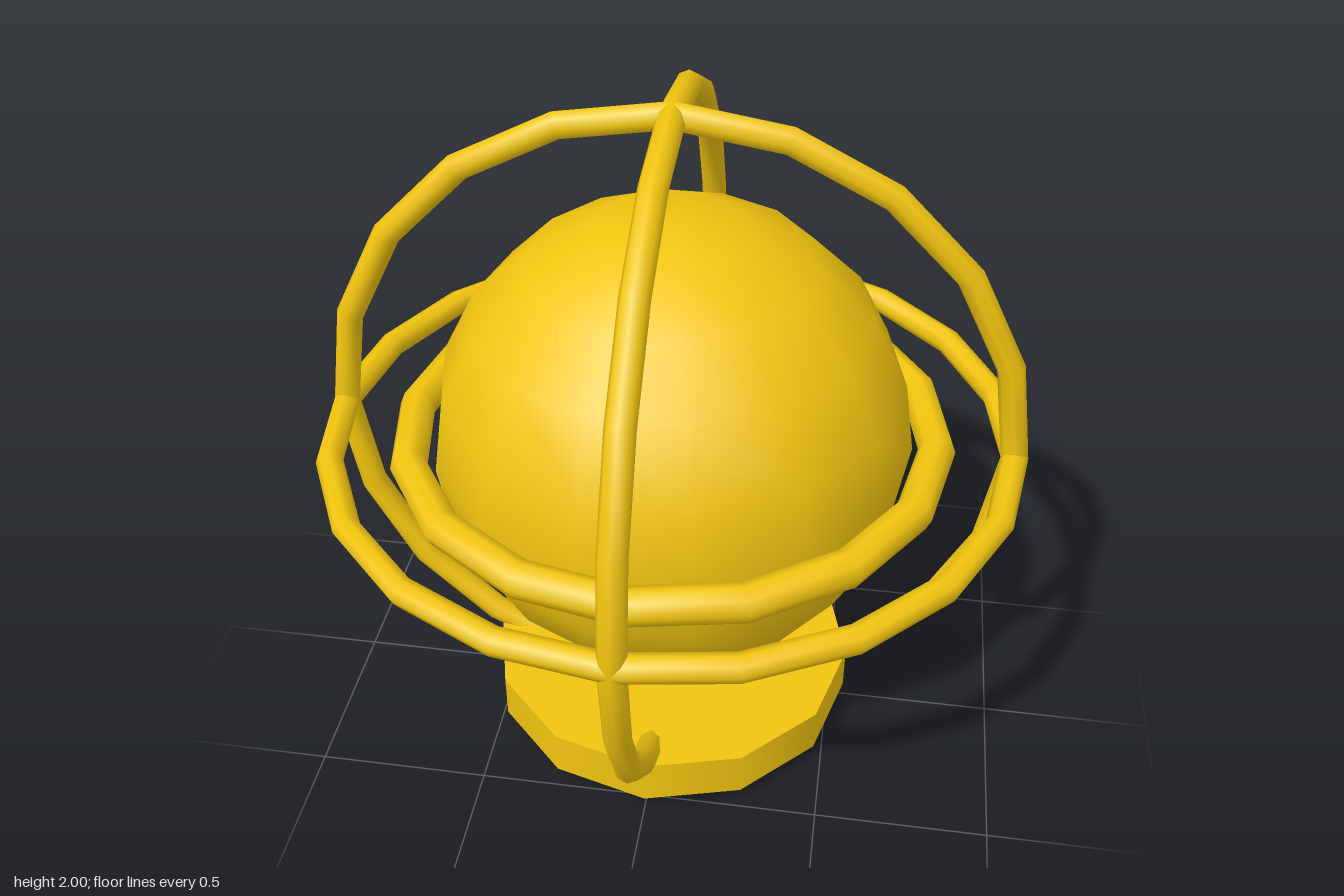
import * as THREE from 'three';

export function createModel() {
  const model = new THREE.Group();
  model.name = 'cagedGlobe';
  const yellow = new THREE.MeshStandardMaterial({ color: 0xf1c40f });

  const add = (name, geometry, y) => {
    const mesh = new THREE.Mesh(geometry, yellow);
    mesh.name = name;
    mesh.position.y = y;
    model.add(mesh);
    return mesh;
  };

  // Globe
  add('globe', new THREE.SphereGeometry(0.68, 14, 10), 1);

  // Thick equator band just outside the globe
  add('equatorBand', new THREE.TorusGeometry(0.748, 0.052, 8, 16), 1).rotation.x = Math.PI / 2;

  // Three crossing rings of the outer cage
  const cage = new THREE.TorusGeometry(0.962, 0.038, 8, 20);
  add('cageRingFront', cage, 1);
  add('cageRingSide', cage, 1).rotation.y = Math.PI / 2;
  add('cageRingLevel', cage, 1).rotation.x = Math.PI / 2;

  // Round base, with the cage just breaking through its underside
  add('base', new THREE.CylinderGeometry(0.55, 0.55, 0.14, 12), 0.113);

  return model;
}
